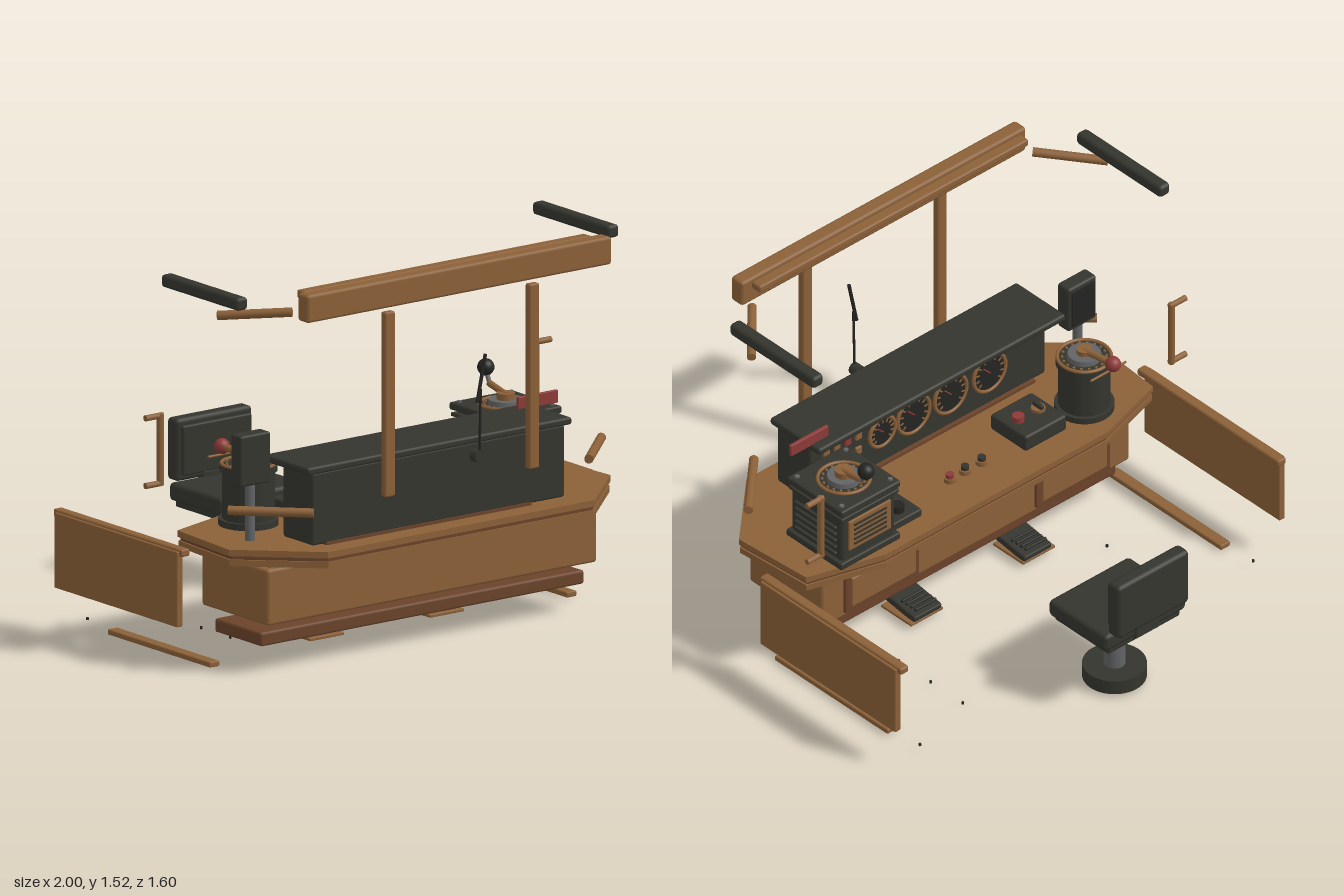
import * as THREE from 'three';
import { RoundedBoxGeometry } from 'three/addons/geometries/RoundedBoxGeometry.js';

const mat = (name, color) => {
  const m = new THREE.MeshStandardMaterial({ color });
  m.name = name;
  return m;
};

export function createModel() {
  const root = new THREE.Group();
  root.name = 'drivingCab';
  const wood = mat('wood brown', 0x8b6038);
  const trim = mat('dark brown', 0x6b432a);
  const dark = mat('charcoal', 0x34352e);
  const black = mat('black', 0x242521);
  const grey = mat('steel grey', 0x626364);
  const red = mat('signal red', 0x8c3a37);

  const add = (name, geo, m, parent = root) => {
    const mesh = new THREE.Mesh(geo, m);
    mesh.name = name;
    parent.add(mesh);
    return mesh;
  };
  // Box given by its extents, with small chamfered edges
  const box = (name, m, x0, x1, y0, y1, z0, z1, r = 0.006) => {
    const w = x1 - x0, h = y1 - y0, d = z1 - z0;
    const geo = r ? new RoundedBoxGeometry(w, h, d, 1, Math.min(r, w / 3, h / 3, d / 3)) : new THREE.BoxGeometry(w, h, d);
    const mesh = add(name, geo, m);
    mesh.position.set((x0 + x1) / 2, (y0 + y1) / 2, (z0 + z1) / 2);
    return mesh;
  };
  // Upright cylinder between two heights
  const cyl = (name, m, x, z, y0, y1, r, r2 = r, n = 32) => {
    const mesh = add(name, new THREE.CylinderGeometry(r2, r, y1 - y0, n), m);
    mesh.position.set(x, (y0 + y1) / 2, z);
    return mesh;
  };
  // Round bar between two points
  const bar = (name, m, a, b, r) => {
    const p = new THREE.Vector3(...a), q = new THREE.Vector3(...b);
    const mesh = add(name, new THREE.CylinderGeometry(r, r, p.distanceTo(q), 12), m);
    mesh.position.copy(p).lerp(q, 0.5);
    mesh.quaternion.setFromUnitVectors(new THREE.Vector3(0, 1, 0), q.sub(p).normalize());
    return mesh;
  };
  const ball = (name, m, x, y, z, r) => add(name, new THREE.SphereGeometry(r, 20, 14), m).position.set(x, y, z);
  const ring = (name, m, x, y, z, r, t, flat) => {
    const mesh = add(name, new THREE.TorusGeometry(r, t, 8, 36), m);
    mesh.position.set(x, y, z);
    if (flat) mesh.rotation.x = Math.PI / 2;
  };

  // Desk: stacked slabs with clipped corners
  const slab = (name, m, y0, y1, inset) => {
    const half = [[0.57, 0.085], [0.89, 0.18], [0.915, 0.53], [0.64, 0.79]];
    const pts = [...half, ...half.map(([x, z]) => [-x, z]).reverse()]
      .map(([x, z]) => new THREE.Vector2(x * (1 - inset), -(0.44 + (z - 0.44) * (1 - 2 * inset))));
    const geo = new THREE.ExtrudeGeometry(new THREE.Shape(pts), { depth: y1 - y0, bevelEnabled: false });
    geo.rotateX(-Math.PI / 2);
    add(name, geo, m).position.y = y0;
  };
  slab('deskTop', wood, 0.485, 0.51, 0);
  slab('deskBand', trim, 0.47, 0.485, 0.012);
  slab('deskUnderside', wood, 0.445, 0.47, 0.004);

  // Cabinet under the desk, with framed panels facing the seat
  box('lowerCabinet', wood, -0.79, 0.79, 0.205, 0.425, 0.2, 0.61, 0.012);
  box('cabinetNeck', trim, -0.76, 0.76, 0.42, 0.45, 0.2, 0.58, 0);
  for (const s of [-1, 1]) {
    const c = s * 0.49;
    box('panelFrame', trim, c - 0.19, c + 0.19, 0.225, 0.41, 0.188, 0.205);
    box('panelField', wood, c - 0.165, c + 0.165, 0.25, 0.385, 0.178, 0.2);
  }
  box('kickPlate', trim, -0.775, 0.775, 0.11, 0.165, 0.26, 0.55, 0.01);
  for (const x of [-0.68, -0.54]) bar('pipe', wood, [x, 0.15, 0.365], [x, 0.22, 0.365], 0.009);

  // Instrument console
  box('consolePlinth', trim, -0.58, 0.4, 0.505, 0.522, 0.5, 0.705, 0);
  box('consoleBody', dark, -0.645, 0.565, 0.515, 0.8, 0.515, 0.7, 0.01);
  box('consoleLid', dark, -0.672, 0.595, 0.795, 0.825, 0.43, 0.708, 0.01);
  [0.2, 0.04, -0.15, -0.35].forEach((x, i) => {
    const r = i === 0 ? 0.065 : 0.082, y = 0.67;
    const face = cyl('gaugeFace', black, x, 0.512, y - 0.006, y + 0.006, r);
    face.rotation.x = Math.PI / 2;
    ring('gaugeRim', wood, x, y, 0.507, r, 0.008);
    for (let k = 0; k < 11; k++) {
      const a = -0.7 + k * (Math.PI + 1.4) / 10;
      const tick = box('gaugeTick', wood, -0.008, 0.008, -0.003, 0.003, -0.002, 0.002, 0);
      tick.position.set(x + Math.cos(a) * r * 0.77, y + Math.sin(a) * r * 0.77, 0.505);
      tick.rotation.z = a;
    }
    bar('gaugeNeedle', red, [x, y, 0.503], [x + r * 0.4, y + r * 0.4, 0.503], 0.003);
  });
  for (let i = 0; i < 4; i++) for (const y of [0.64, 0.71]) {
    const x = 0.32 + i * 0.055;
    box('indicator', (i === 1 && y > 0.7) ? red : wood, x - 0.015, x + 0.015, y - 0.017, y + 0.017, 0.505, 0.52, 0.003);
  }
  box('destinationPlate', red, 0.505, 0.697, 0.82, 0.87, 0.475, 0.49, 0.003);

  // Push buttons on the desk
  [[-0.085, dark], [0, dark], [0.078, red]].forEach(([x, m]) => {
    cyl('buttonCollar', wood, x, 0.262, 0.51, 0.528, 0.023);
    cyl('buttonCap', m, x, 0.262, 0.528, 0.545, 0.016);
  });

  // Square controller with crank handle
  box('controllerBase', dark, 0.46, 0.765, 0.51, 0.54, 0.12, 0.43);
  box('controllerBody', dark, 0.475, 0.75, 0.53, 0.75, 0.132, 0.418, 0.015);
  box('controllerRim', dark, 0.462, 0.758, 0.73, 0.745, 0.125, 0.425, 0.004);
  box('controllerTop', dark, 0.458, 0.762, 0.755, 0.785, 0.12, 0.43, 0.008);
  box('controllerDoor', wood, 0.505, 0.72, 0.58, 0.715, 0.124, 0.135, 0.003);
  for (let i = 0; i < 5; i++) {
    box('doorSlot', dark, 0.53, 0.695, 0.6 + i * 0.022, 0.608 + i * 0.022, 0.12, 0.126, 0);
    box('sideLouvre', dark, 0.745, 0.762, 0.56 + i * 0.03, 0.572 + i * 0.03, 0.16, 0.39, 0.003);
  }
  for (const x of [0.485, 0.735]) for (const z of [0.15, 0.4]) cyl('topBolt', grey, x, z, 0.785, 0.792, 0.01, 0.01, 8);
  // Dial with a ring of marks, a steel hub and a swinging arm
  const dial = (x, z, y, r) => {
    ring('dialRing', wood, x, y + 0.003, z, r, 0.007, true);
    for (let i = 0; i < 18; i++) {
      const a = i * Math.PI / 9;
      cyl('dialMark', wood, x + Math.cos(a) * r * 0.82, z + Math.sin(a) * r * 0.82, y, y + 0.006, 0.005, 0.005, 8);
    }
    cyl('dialHub', grey, x, z, y, y + 0.02, 0.067, 0.064);
  };
  dial(0.61, 0.275, 0.785, 0.1);
  cyl('crankBoss', wood, 0.61, 0.275, 0.8, 0.83, 0.035);
  bar('crankArm', wood, [0.61, 0.82, 0.285], [0.618, 0.842, 0.165], 0.013);
  bar('crankStem', grey, [0.618, 0.84, 0.168], [0.62, 0.89, 0.14], 0.009);
  ball('crankKnob', black, 0.62, 0.9, 0.14, 0.033);

  // Low switch plate beside it
  box('switchPlate', dark, 0.305, 0.46, 0.51, 0.545, 0.17, 0.37);
  cyl('switchKnob', black, 0.38, 0.225, 0.545, 0.575, 0.026);
  box('switchLever', black, 0.373, 0.387, 0.545, 0.565, 0.22, 0.29, 0.003);

  // Round brake controller
  cyl('brakeFoot', dark, -0.615, 0.265, 0.51, 0.535, 0.115);
  cyl('brakeDrum', dark, -0.615, 0.265, 0.53, 0.72, 0.1);
  cyl('brakeCap', dark, -0.615, 0.265, 0.72, 0.745, 0.11);
  dial(-0.615, 0.265, 0.745, 0.103);
  cyl('brakeBoss', wood, -0.615, 0.265, 0.76, 0.785, 0.03);
  bar('brakeArm', wood, [-0.615, 0.775, 0.265], [-0.628, 0.785, 0.13], 0.014);
  bar('brakeStop', wood, [-0.7, 0.755, 0.125], [-0.52, 0.755, 0.125], 0.005);
  ball('brakeKnob', red, -0.628, 0.785, 0.118, 0.031);

  // Switch box
  box('switchBox', dark, -0.467, -0.255, 0.51, 0.58, 0.2, 0.4, 0.01);
  cyl('rotarySwitch', wood, -0.41, 0.3, 0.58, 0.592, 0.028);
  box('rotaryGrip', dark, -0.418, -0.402, 0.59, 0.61, 0.275, 0.325, 0.003);
  cyl('stopButton', red, -0.307, 0.3, 0.58, 0.605, 0.024);

  // Display on a steel post
  cyl('displayPost', grey, -0.762, 0.463, 0.51, 0.74, 0.019);
  box('displayHead', dark, -0.83, -0.685, 0.73, 0.93, 0.43, 0.495, 0.01);
  box('displayScreen', black, -0.815, -0.7, 0.75, 0.91, 0.424, 0.432, 0);

  // Windscreen frame: header beam and rail
  box('headerBeam', wood, -0.73, 0.73, 1.415, 1.525, 0.715, 0.78, 0.012);
  box('headerRail', wood, -0.69, 0.69, 1.488, 1.52, 0.658, 0.708, 0.008);
  bar('wiperPivot', dark, [0.095, 0.765, 0.745], [0.095, 0.765, 0.785], 0.025);
  bar('wiperArm', black, [0.095, 0.765, 0.778], [0.095, 1.03, 0.785], 0.005);
  bar('wiperBlade', black, [0.076, 0.98, 0.788], [0.115, 1.165, 0.788], 0.007);

  // Mirrored side parts
  for (const s of [-1, 1]) {
    const sbox = (name, m, x0, x1, ...rest) => box(name, m, Math.min(s * x0, s * x1), Math.max(s * x0, s * x1), ...rest);
    sbox('screenPost', wood, 0.322, 0.37, 0.68, 1.405, 0.765, 0.797, 0.008);
    bar('overheadArm', wood, [s * 0.72, 1.438, 0.67], [s * 0.915, 1.413, 0.46], 0.018);
    sbox('overheadPad', dark, 0.863, 0.917, 1.452, 1.503, 0.11, 0.585, 0.014);
    bar('cornerRail', wood, [s * 0.66, 0.653, 0.725], [s * 0.895, 0.655, 0.5], 0.018);
    // Door grab handle
    bar('grabBar', wood, [s * 0.9, 0.67, 0.087], [s * 0.9, 0.95, 0.087], 0.014);
    for (const y of [0.677, 0.942]) bar('grabMount', wood, [s * 0.89, y, 0.087], [s * 0.972, y, 0.087], 0.012);
    // Side board with cap rail, and floor strip
    sbox('sideBoard', wood, 0.972, 1.0, 0.175, 0.47, -0.44, 0.32, 0.004);
    sbox('sideBoardCap', wood, 0.948, 0.99, 0.45, 0.48, -0.46, 0.335, 0.008);
    sbox('floorStrip', wood, 0.832, 0.88, 0.008, 0.03, -0.265, 0.368, 0.005);
    // Foot pedal
    sbox('pedalPlate', wood, 0.205, 0.37, 0.022, 0.034, 0.16, 0.33, 0.003);
    const pedal = sbox('pedal', dark, 0.212, 0.352, 0.037, 0.067, 0.16, 0.325, 0.006);
    pedal.rotation.x = -0.14;
    for (let i = 0; i < 4; i++) {
      const z = 0.175 + i * 0.025;
      bar('pedalRidge', black, [s * 0.23, 0.076, z], [s * 0.335, 0.076, z], 0.006);
    }
    // Floor bolts
    for (const [x, y, z] of [[0.535, 0.008, 0.05], [0.535, 0.008, -0.13], [0.535, 0.008, -0.31], [0.855, 0.035, -0.42]])
      cyl('floorBolt', black, s * x, z, y - 0.005, y + 0.005, 0.005, 0.005, 8);
  }

  // Driver's seat
  cyl('seatFoot', dark, 0, -0.577, 0.018, 0.078, 0.123, 0.123, 40);
  cyl('seatColumn', grey, 0, -0.577, 0.07, 0.305, 0.042);
  box('seatPan', dark, -0.185, 0.185, 0.298, 0.335, -0.745, -0.44, 0.01);
  box('seatCushion', dark, -0.207, 0.207, 0.325, 0.397, -0.755, -0.43, 0.016);
  box('seatBracket', dark, -0.06, 0.06, 0.32, 0.42, -0.765, -0.73);
  box('seatBack', dark, -0.182, 0.182, 0.395, 0.64, -0.8, -0.735, 0.016);
  box('backPad', dark, -0.165, 0.165, 0.42, 0.615, -0.738, -0.717, 0.008);

  return root;
}
